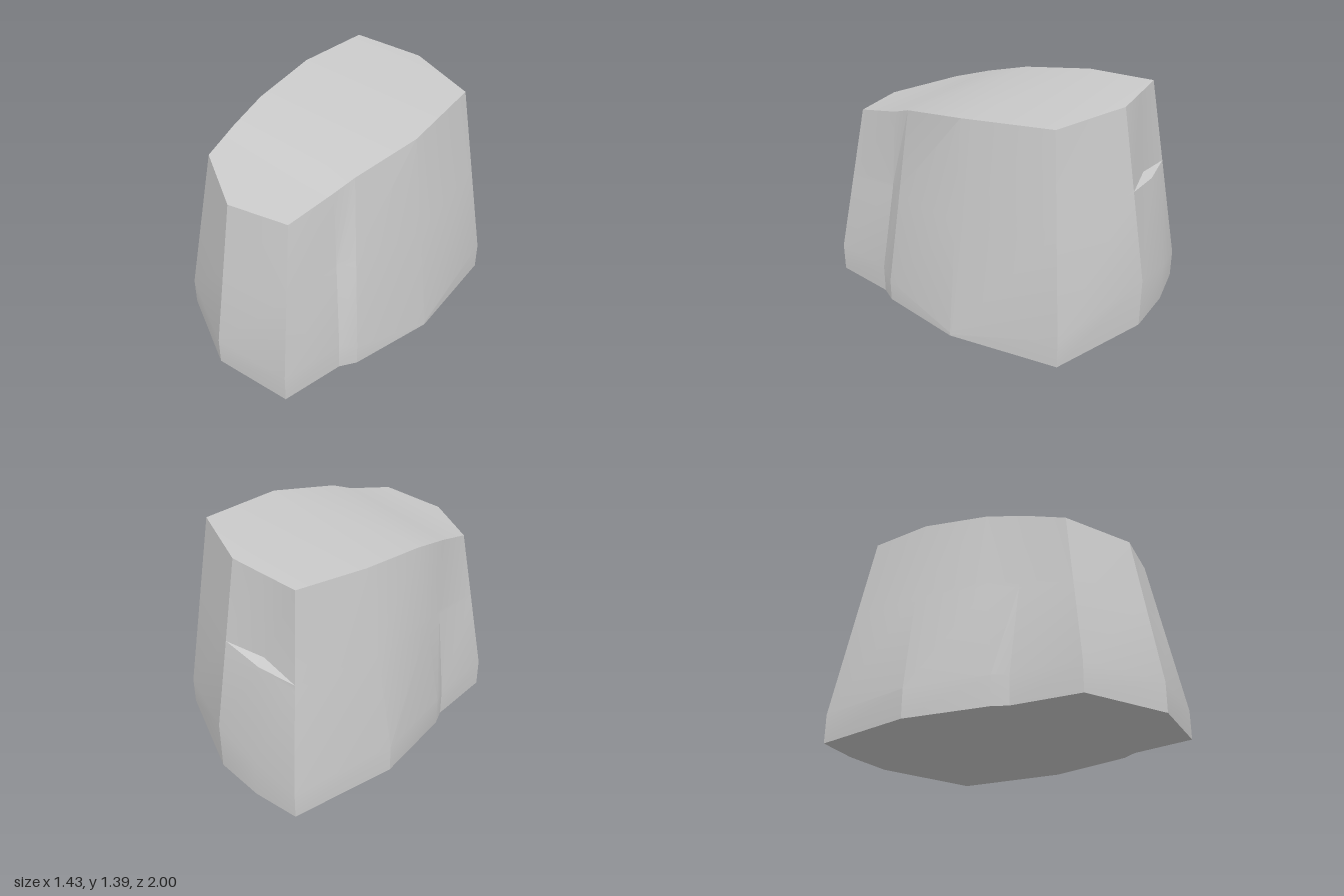
import * as THREE from 'three';
import { toCreasedNormals } from 'three/addons/utils/BufferGeometryUtils.js';

// One entry per column around the rock, starting at the front, going through +x:
// foot x, foot z, height of the upright foot, rim x, rim y, rim z, lower and upper notch scale
const COLUMNS = [
  [0.03, 1.0, 0.18, 0.03, 1.13, 0.84, 1, 1],
  [0.53, 0.92, 0.18, 0.42, 1.16, 0.75, 1, 1],
  [0.575, 0.52, 0.18, 0.46, 1.23, 0.45, 0.97, 0.97],
  [0.63, 0.42, 0.14, 0.49, 1.28, 0.32, 1, 1],
  [0.715, -0.12, 0.02, 0.55, 1.355, -0.11, 1, 1],
  [0.6, -0.8, 0.18, 0.46, 1.39, -0.66, 1, 1],
  [-0.03, -1.0, 0.32, -0.03, 1.39, -0.81, 1, 1],
  [-0.36, -0.985, 0.25, -0.27, 1.39, -0.78, 1, 0.95],
  [-0.65, -0.92, 0.18, -0.5, 1.39, -0.75, 1, 1],
  [-0.72, -0.25, 0.18, -0.535, 1.36, -0.3, 1, 1],
  [-0.6, 0.27, 0.18, -0.48, 1.3, 0.14, 1, 1],
  [-0.55, 0.36, 0.18, -0.43, 1.235, 0.4, 0.97, 0.97],
  [-0.49, 0.78, 0.18, -0.38, 1.16, 0.64, 1, 1],
];
const LOW = 0.53;
const HIGH = 0.56;

// Five stacked points of one column: ground, foot, two notch levels, rim
function columnPoints([fx, fz, fy, rx, ry, rz, notchLow, notchHigh]) {
  const foot = new THREE.Vector3(fx, fy, fz);
  const rim = new THREE.Vector3(rx, ry, rz);
  const level = (t, s) => foot.clone().lerp(rim, t).multiply(new THREE.Vector3(s, 1, s));
  return [new THREE.Vector3(fx, 0, fz), foot, level(LOW, notchLow), level(HIGH, notchHigh), rim];
}

function rockGeometry() {
  const cols = COLUMNS.map(columnPoints);
  const n = cols.length;
  const levels = cols[0].length;
  const id = (c, l) => (c % n) * levels + l;
  const index = [];

  // Sides
  for (let c = 0; c < n; c++) {
    for (let l = 0; l < levels - 1; l++) {
      const a = id(c, l), b = id(c + 1, l), d = id(c, l + 1), e = id(c + 1, l + 1);
      index.push(a, b, e, a, e, d);
    }
  }

  // Sloping top and flat underside, as strips between opposite columns
  const cap = (l, flip) => {
    const tri = (a, b, c) => index.push(id(a, l), id(flip ? c : b, l), id(flip ? b : c, l));
    tri(0, 1, n - 1);
    for (let k = 1; k < 6; k++) {
      tri(k, k + 1, n - k);
      if (n - k - 1 > k + 1) tri(k + 1, n - k - 1, n - k);
    }
    tri(6, 7, 8);
  };
  cap(levels - 1, false);
  cap(0, true);

  const geometry = new THREE.BufferGeometry().setFromPoints(cols.flat());
  geometry.setIndex(index);
  return toCreasedNormals(geometry, 0.3);
}

export function createModel() {
  const group = new THREE.Group();
  group.name = 'boulder';
  const rock = new THREE.Mesh(
    rockGeometry(),
    new THREE.MeshStandardMaterial({ color: 0xcccccc, side: THREE.DoubleSide })
  );
  rock.name = 'rock';
  group.add(rock);
  return group;
}
